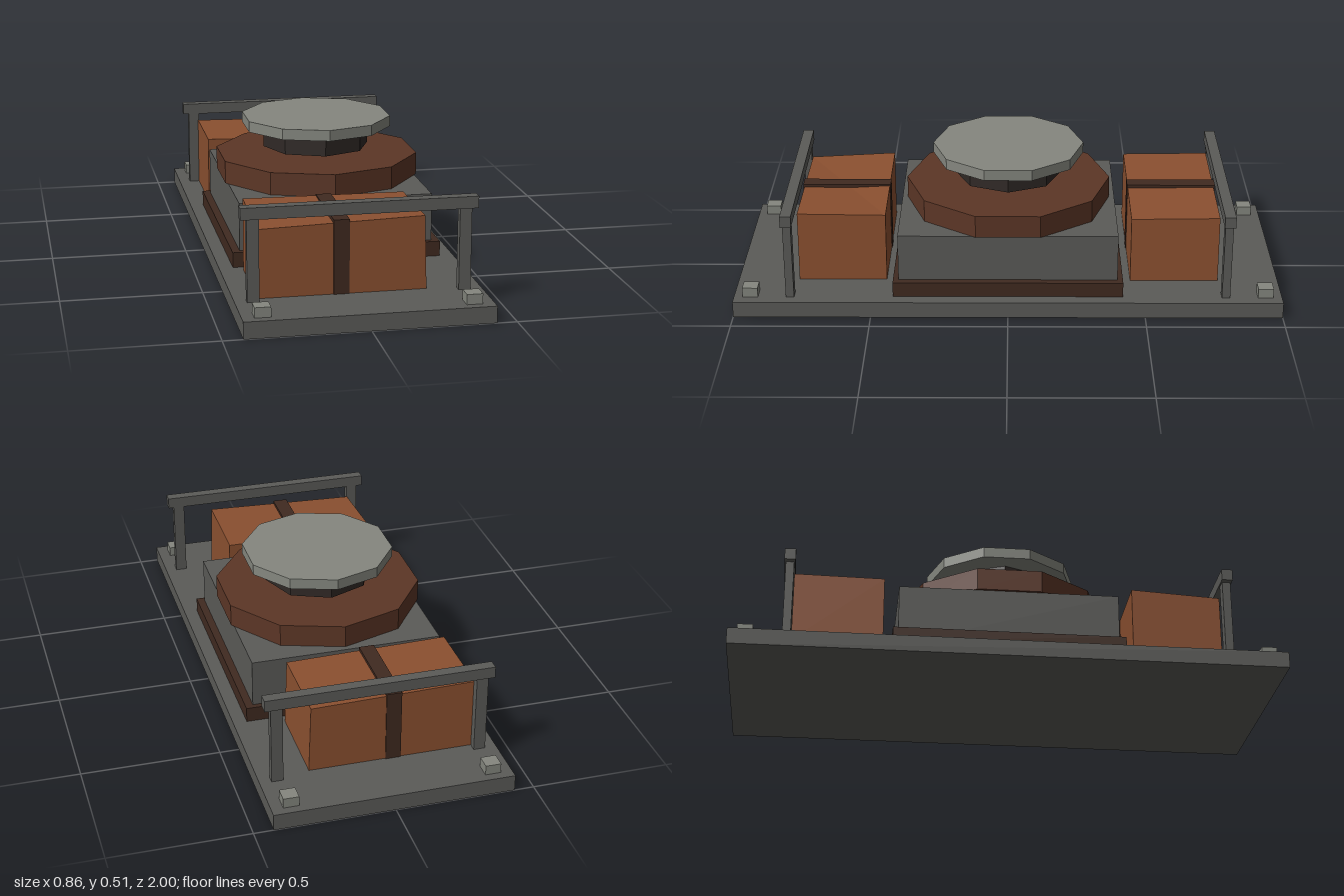
import * as THREE from 'three';

const mat = (color) => new THREE.MeshStandardMaterial({ color, flatShading: true });

export function createModel() {
  const model = new THREE.Group();
  const steel = mat(0x5b5b58), pale = mat(0x85877f), wood = mat(0x8b5030);
  const strapBrown = mat(0x402a20), ringBrown = mat(0x5c3626), dark = mat(0x302926);

  const add = (name, geometry, material, parent = model) => {
    const mesh = new THREE.Mesh(geometry, material);
    mesh.name = name;
    parent.add(mesh);
    return mesh;
  };

  // Box given by its limits on each axis
  const block = (x0, x1, y0, y1, z0, z1) =>
    new THREE.BoxGeometry(x1 - x0, y1 - y0, z1 - z0)
      .translate((x0 + x1) / 2, (y0 + y1) / 2, (z0 + z1) / 2);

  // Slightly crooked crate: top corners sink by the given drops, right side leans in
  const crate = (x0, x1, z0, z1, top, drops) => {
    const g = block(x0, x1, 0.06, top, z0, z1);
    const p = g.attributes.position;
    for (let i = 0; i < p.count; i++) {
      if (p.getY(i) < 0.1) continue;
      const right = p.getX(i) > 0, near = p.getZ(i) > (z0 + z1) / 2;
      p.setY(i, top - drops[(near ? 2 : 0) + (right ? 1 : 0)]);
      if (right) p.setX(i, x1 - 0.008);
    }
    return g;
  };

  // Many-sided disc with a corner pointing to the front
  const disc = (radius, y0, y1, sides) =>
    new THREE.CylinderGeometry(radius, radius, y1 - y0, sides).translate(0, (y0 + y1) / 2, 0);

  add('basePlate', block(-0.43, 0.43, 0, 0.06, -1, 1), steel);

  // Central housing, round collar, neck and cap
  const turret = new THREE.Group();
  turret.name = 'turret';
  model.add(turret);
  add('housingTrim', block(-0.38, 0.38, 0.06, 0.115, -0.42, 0.42), strapBrown, turret);
  add('housing', block(-0.352, 0.352, 0.06, 0.29, -0.4, 0.4), steel, turret);
  add('collar', disc(0.38, 0.29, 0.373, 10), ringBrown, turret);
  add('neck', disc(0.199, 0.395, 0.472, 8), dark, turret);
  add('cap', disc(0.28, 0.472, 0.512, 10), pale, turret);

  // Crates with a strap over the middle
  add('frontCrate', crate(-0.347, 0.241, 0.45, 0.775, 0.322, [0, 0.004, 0.018, 0]), wood);
  add('backCrate', crate(-0.35, 0.247, -0.778, -0.453, 0.322, [0, 0.012, 0.004, 0.016]), wood);
  add('frontStrap', block(-0.085, -0.03, 0.06, 0.324, 0.447, 0.779), strapBrown);
  add('backStrap', block(-0.085, -0.03, 0.06, 0.324, -0.782, -0.45), strapBrown);

  // Guard rails and corner bolts at both ends
  for (const end of [1, -1]) {
    const rail = new THREE.Group();
    rail.name = end > 0 ? 'frontRail' : 'backRail';
    model.add(rail);
    const z = end * 0.795;
    add('railBar', block(-0.41, 0.41, 0.35, 0.392, z - 0.02, z + 0.02), steel, rail);
    for (const side of [1, -1]) {
      const x = side * 0.367, bx = side * 0.36, bz = end * 0.94;
      add('railPost', block(x - 0.021, x + 0.021, 0.06, 0.35, z - 0.015, z + 0.015), steel, rail);
      add('cornerBolt', block(bx - 0.028, bx + 0.028, 0.06, 0.096, bz - 0.028, bz + 0.028), pale);
    }
  }
  return model;
}
